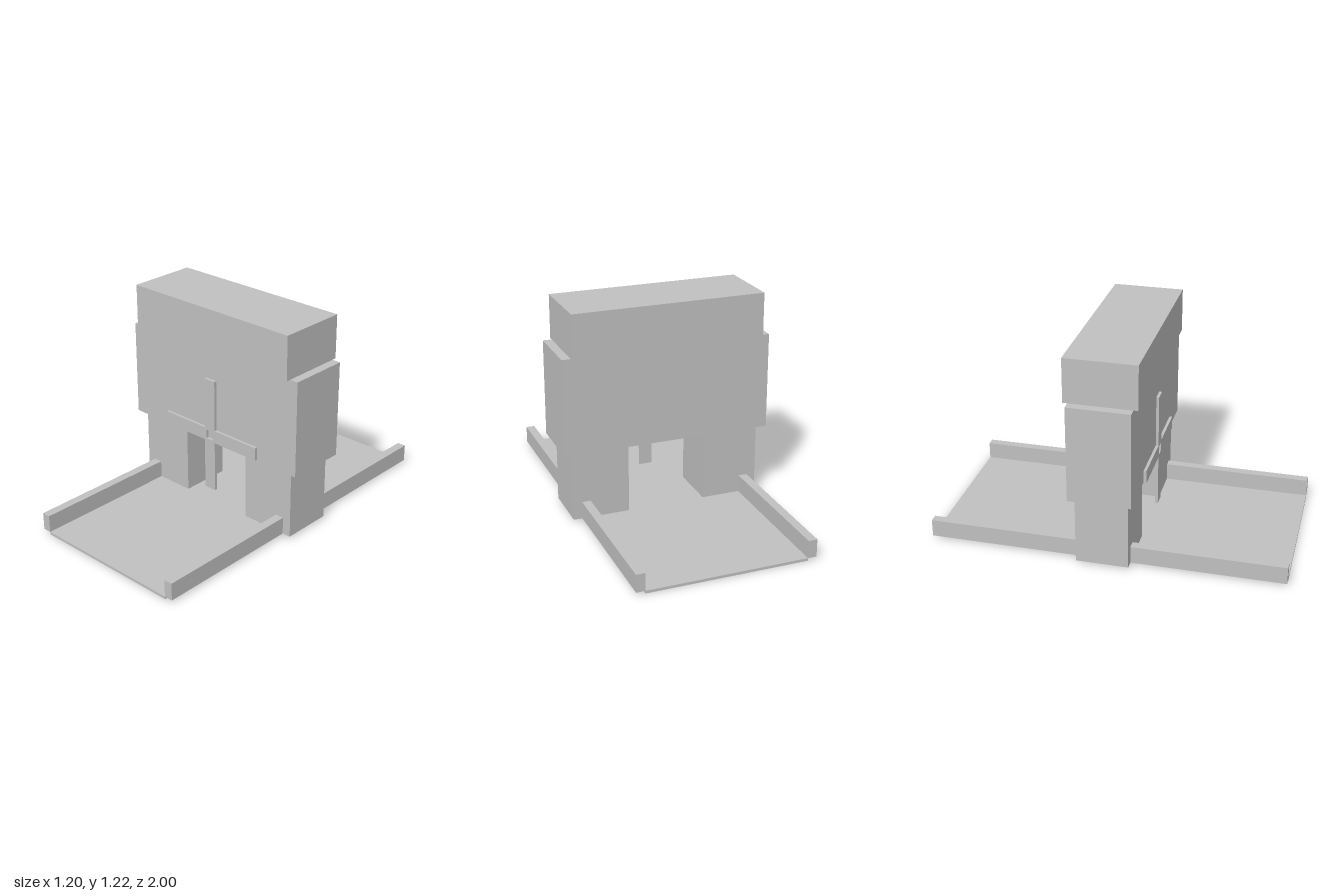
import * as THREE from 'three';

export function createModel() {
  const model = new THREE.Group();
  const grey = new THREE.MeshStandardMaterial({ color: 0xc0c0c0 });
  grey.name = 'plain grey';

  // Box given by its lower and upper limits on each axis
  function block(name, [x0, x1], [y0, y1], [z0, z1]) {
    const mesh = new THREE.Mesh(new THREE.BoxGeometry(x1 - x0, y1 - y0, z1 - z0), grey);
    mesh.position.set((x0 + x1) / 2, (y0 + y1) / 2, (z0 + z1) / 2);
    mesh.name = name;
    model.add(mesh);
  }

  // Deck with side rails
  block('deck', [-0.45, 0.45], [0, 0.015], [-1, 1]);
  block('leftRail', [0.45, 0.5], [0.015, 0.115], [-1, 1]);
  block('rightRail', [-0.5, -0.45], [0.015, 0.115], [-1, 1]);

  // Gatehouse: two piers, the body they carry and the top block
  block('leftPier', [0.225, 0.55], [0.015, 0.415], [-0.147, 0.147]);
  block('rightPier', [-0.55, -0.225], [0.015, 0.415], [-0.147, 0.147]);
  block('body', [-0.6, 0.6], [0.415, 0.965], [-0.174, 0.174]);
  block('topBlock', [-0.55, 0.55], [0.965, 1.215], [-0.2, 0.2]);

  // Cross of four sails with a square hub hole, just in front of the body
  const w = 0.0375, arm = 0.336, h = 0.026;
  const cross = new THREE.Shape([
    [-w, -arm], [w, -arm], [w, -w], [arm, -w], [arm, w], [w, w],
    [w, arm], [-w, arm], [-w, w], [-arm, w], [-arm, -w], [-w, -w],
  ].map(([x, y]) => new THREE.Vector2(x, y)));
  cross.holes.push(new THREE.Path(
    [[-h, -h], [-h, h], [h, h], [h, -h]].map(([x, y]) => new THREE.Vector2(x, y))));
  const sails = new THREE.Mesh(
    new THREE.ExtrudeGeometry(cross, { depth: 0.016, bevelEnabled: false }), grey);
  sails.position.set(0, 0.465, 0.18);
  sails.name = 'sails';
  model.add(sails);

  return model;
}
